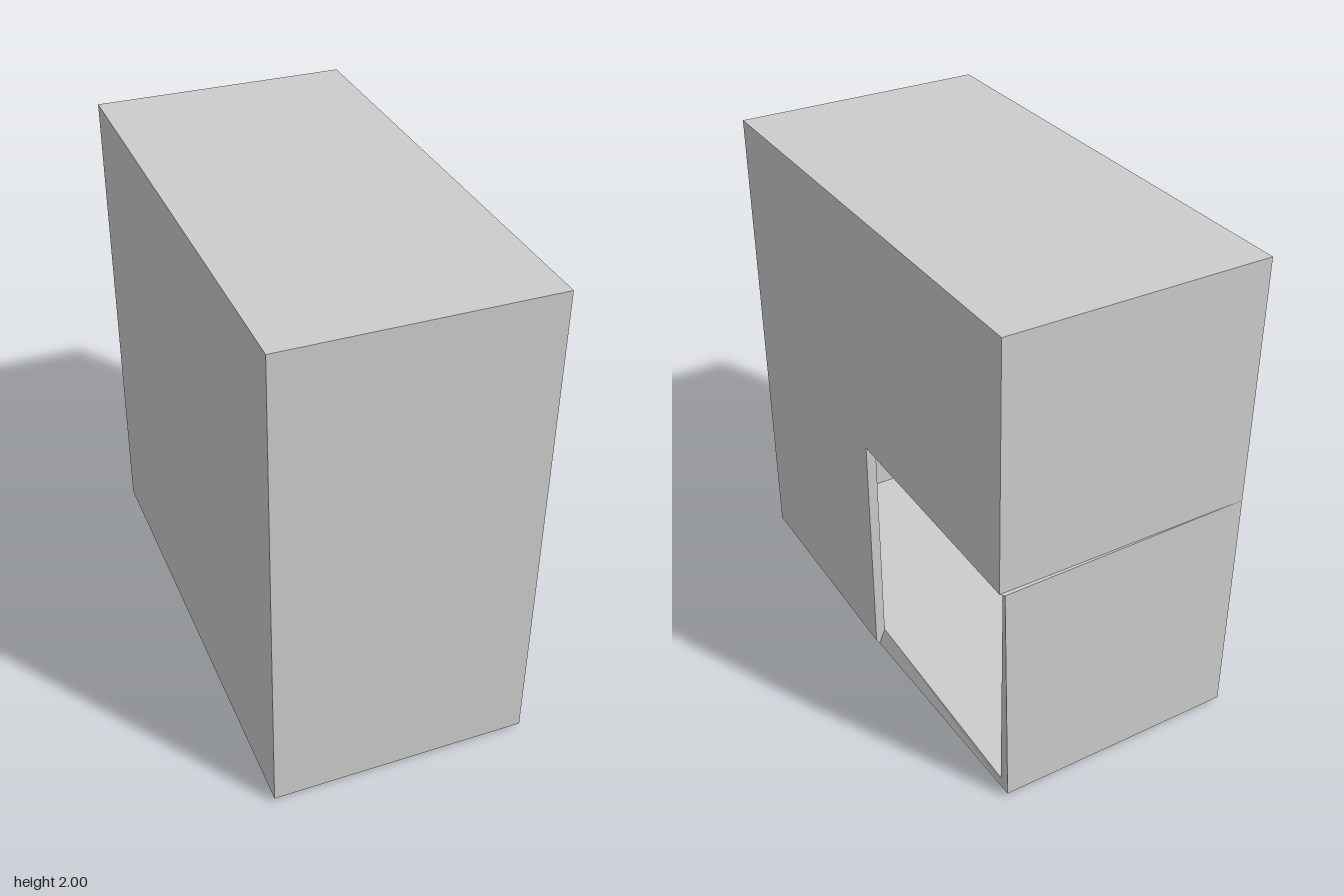
import * as THREE from 'three';

const grey = new THREE.MeshStandardMaterial({ color: 0xcccccc });
grey.name = 'plain grey';

// Flat face fanned from its first corner and turned to look along `facing`
function face(name, facing, corners) {
  const v = corners.map((c) => new THREE.Vector3(...c));
  const out = new THREE.Vector3(...facing);
  const points = [];
  for (let i = 1; i < v.length - 1; i++) {
    const normal = v[i].clone().sub(v[0]).cross(v[i + 1].clone().sub(v[0]));
    points.push(v[0], ...(normal.dot(out) >= 0 ? [v[i], v[i + 1]] : [v[i + 1], v[i]]));
  }
  const geometry = new THREE.BufferGeometry().setFromPoints(points);
  geometry.computeVertexNormals();
  const mesh = new THREE.Mesh(geometry, grey);
  mesh.name = name;
  return mesh;
}

export function createModel() {
  const model = new THREE.Group();
  model.name = 'hollowBox';
  const add = (...args) => model.add(face(...args));

  // Outer limits, inner limits and the corner of the opening
  const L = -0.518, R = 0.515, B = 0.02, T = 2, K = -0.985, F = 1;
  const l = -0.475, r = 0.475, b = 0.065, t = 1.957, k = -0.94, f = 0.957;
  const oy = 1.01, oz = 0.01;

  // Bent corners below and behind the opening
  const low = [0.502, 0, oz], rear = [0.502, oy, -1], foot = [0.472, B, K];

  // Outer walls
  add('frontWall', [0, 0, 1], [[L, B, F], [R, B, F], [R, T, F], [L, T, F]]);
  add('roof', [0, 1, 0], [[L, T, F], [R, T, F], [R, T, K], [L, T, K]]);
  add('rightWall', [-1, 0, 0], [[L, B, F], [L, T, F], [L, T, K], [L, B, K]]);
  add('leftWall', [1, 0, 0], [[R, oy, oz], [R, B, oz], [R, B, F], [R, T, F], [R, T, K], [R, oy, K]]);

  // Back and underside, each creased level with the opening
  add('upperBackWall', [0, 0, -1], [[L, oy, K], [L, T, K], [R, T, K], [R, oy, K], rear]);
  add('lowerBackWall', [0, 0, -1], [[L, oy, K], rear, foot, [L, B, K]]);
  add('frontUnderside', [0, -1, 0], [[L, B, oz], [L, B, F], [R, B, F], [R, B, oz], low]);
  add('backUnderside', [0, -1, 0], [[L, B, oz], low, foot, [L, B, K]]);

  // Edges of the opening
  add('jamb', [0, 0, -1], [[r, oy, oz], [r, b, oz], low, [R, B, oz], [R, oy, oz]]);
  add('lintel', [0, -1, 0], [[r, oy, oz], [r, oy, k], rear, [R, oy, K], [R, oy, oz]]);
  add('sill', [1, 0, 0], [[r, b, oz], [r, b, k], foot, low]);
  add('backPost', [1, 0, 0], [[r, oy, k], [r, b, k], foot, rear]);

  // Room inside
  add('innerFront', [0, 0, -1], [[l, b, f], [r, b, f], [r, t, f], [l, t, f]]);
  add('innerBack', [0, 0, 1], [[l, b, k], [r, b, k], [r, t, k], [l, t, k]]);
  add('floor', [0, 1, 0], [[l, b, f], [r, b, f], [r, b, k], [l, b, k]]);
  add('ceiling', [0, -1, 0], [[l, t, f], [r, t, f], [r, t, k], [l, t, k]]);
  add('innerRight', [1, 0, 0], [[l, b, f], [l, t, f], [l, t, k], [l, b, k]]);
  add('innerLeft', [-1, 0, 0], [[r, oy, oz], [r, b, oz], [r, b, f], [r, t, f], [r, t, k], [r, oy, k]]);
  return model;
}
